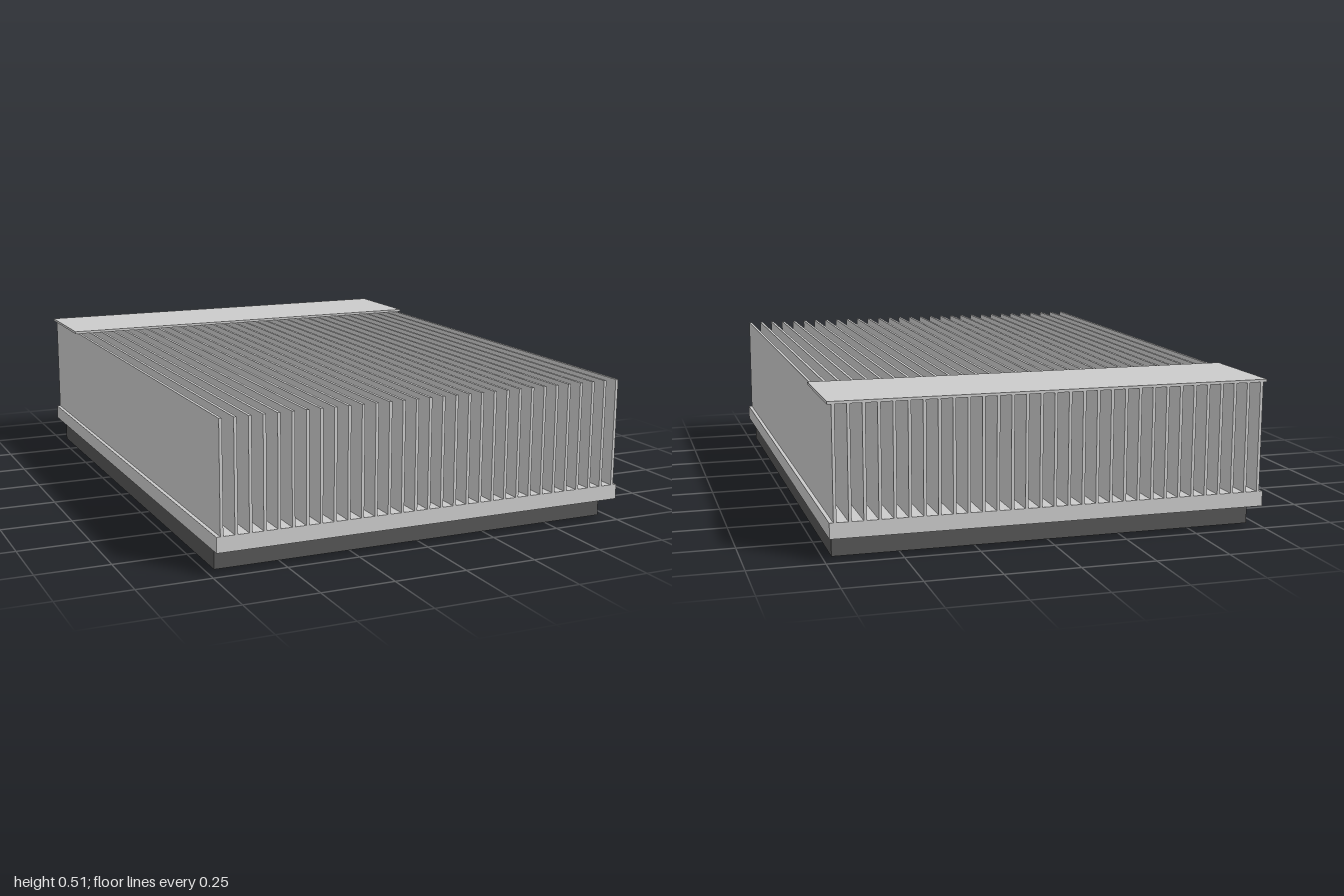
import * as THREE from 'three';

export function createModel() {
  const model = new THREE.Group();
  model.name = 'heatSink';
  const metal = new THREE.MeshStandardMaterial({ color: 0xcccccc });
  const dark = new THREE.MeshStandardMaterial({ color: 0x555555 });

  // Box given by its x, y and z extents
  function addBox(name, [x0, x1], [y0, y1], [z0, z1], material, parent = model) {
    const mesh = new THREE.Mesh(new THREE.BoxGeometry(x1 - x0, y1 - y0, z1 - z0), material);
    mesh.position.set((x0 + x1) / 2, (y0 + y1) / 2, (z0 + z1) / 2);
    mesh.name = name;
    parent.add(mesh);
  }

  // Dark pad under the sink, and the base plate resting on it
  addBox('contactPad', [-0.72, 0.72], [0, 0.078], [-0.925, 0.925], dark);
  addBox('basePlate', [-0.738, 0.738], [0.078, 0.13], [-1, 1], metal);

  // Row of thin upright fins along the full depth
  const fins = new THREE.Group();
  fins.name = 'fins';
  model.add(fins);
  const count = 31, reach = 0.72, half = 0.005;
  for (let i = 0; i < count; i++) {
    const x = -reach + (2 * reach * i) / (count - 1);
    addBox('fin' + (i + 1), [x - half, x + half], [0.13, 0.503], [-1, 1], metal, fins);
  }

  // Thin cover strip over the rear of the fins
  addBox('rearCover', [-0.738, 0.738], [0.503, 0.512], [-1, -0.635], metal);

  return model;
}
